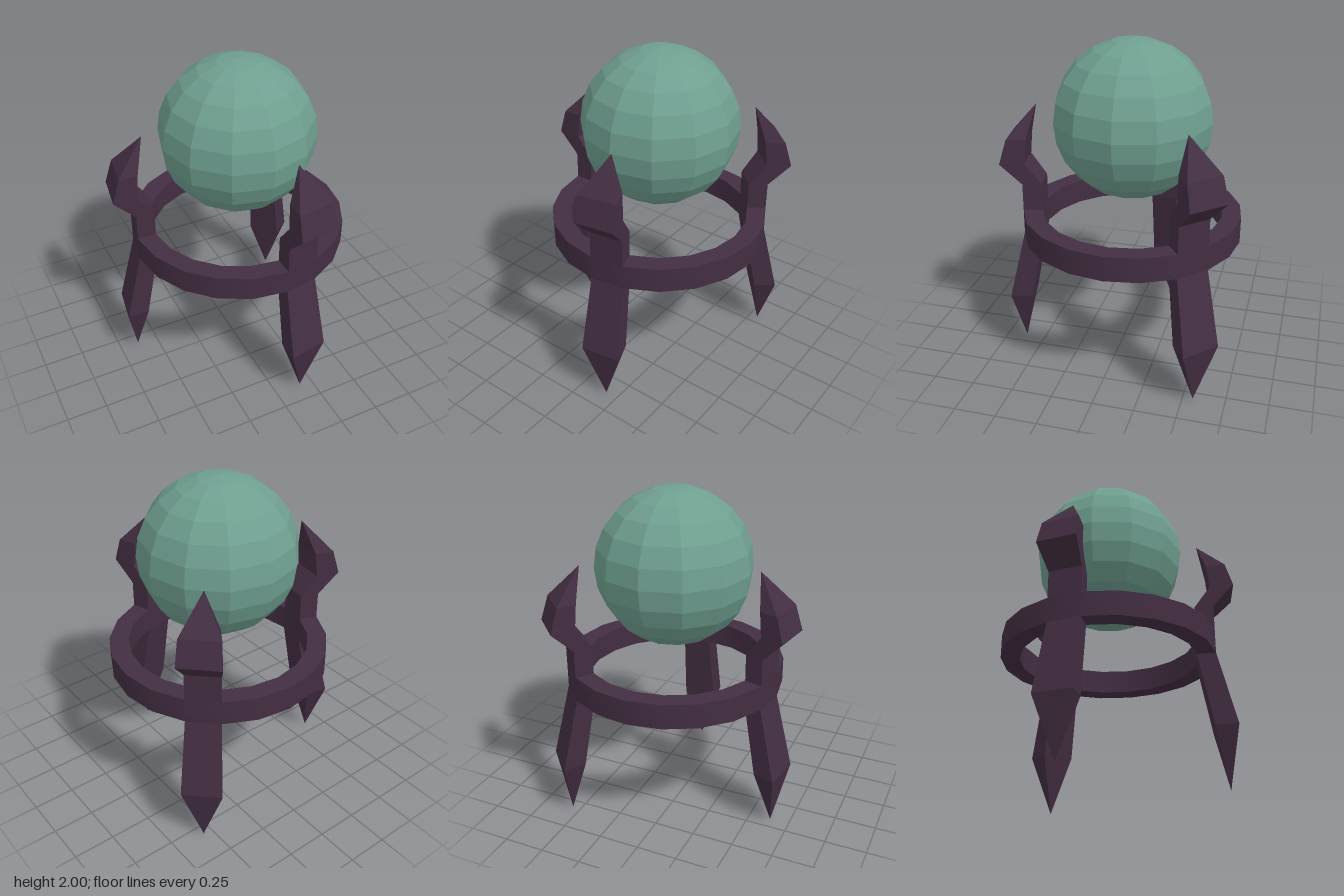
import * as THREE from 'three';
import { toCreasedNormals } from 'three/addons/utils/BufferGeometryUtils.js';

const RING_OUT = 0.66, RING_IN = 0.545, HALF = Math.PI / 20; // 20-sided ring, legs span one side

// Four-sided claw lofted through sections: [y, outer z, outer half width, inner z, inner half width]
function clawGeometry() {
  const zo = RING_OUT * Math.cos(HALF), wo = RING_OUT * Math.sin(HALF);
  const zi = RING_IN * Math.cos(HALF), wi = RING_IN * Math.sin(HALF);
  const sections = [
    [0, 0.7, 0, 0.7, 0],              // foot point
    [0.36, 0.76, 0.12, 0.625, 0.1],   // flared ankle
    [0.81, zo, wo, zi, wi],           // ring underside
    [1.125, zo, wo, zi, wi],          // top of the post
    [1.255, 0.78, 0.124, 0.635, 0.1], // outward bend
    [1.405, 0.735, 0.115, 0.62, 0.093],
    [1.6, 0.568, 0, 0.568, 0],        // claw tip
  ];
  const corner = ([y, o, ow, i, iw], k) =>
    [[-ow, y, o], [ow, y, o], [iw, y, i], [-iw, y, i]][k % 4];
  const pos = [];
  for (let s = 0; s < sections.length - 1; s++) {
    for (let k = 0; k < 4; k++) {
      const a = corner(sections[s], k), b = corner(sections[s], k + 1);
      const c = corner(sections[s + 1], k + 1), d = corner(sections[s + 1], k);
      if (s > 0) pos.push(...a, ...b, ...c);
      if (s < sections.length - 2) pos.push(...a, ...c, ...d);
    }
  }
  const g = new THREE.BufferGeometry();
  g.setAttribute('position', new THREE.Float32BufferAttribute(pos, 3));
  g.computeVertexNormals();
  return g;
}

export function createModel() {
  const model = new THREE.Group();
  model.name = 'orbStand';
  const orbMat = new THREE.MeshStandardMaterial({ color: 0x6f9f90, flatShading: true });
  const clawMat = new THREE.MeshStandardMaterial({ color: 0x432e42, flatShading: true });
  const ringMat = new THREE.MeshStandardMaterial({ color: 0x432e42 });

  const add = (name, geometry, material) => {
    const mesh = new THREE.Mesh(geometry, material);
    mesh.name = name;
    model.add(mesh);
    return mesh;
  };

  // Floating orb
  add('orb', new THREE.SphereGeometry(0.47, 12, 12), orbMat).position.y = 1.53;

  // Flat band joining the legs
  const profile = [[RING_IN, 0.81], [RING_OUT, 0.81], [RING_OUT, 0.96], [RING_IN, 0.96], [RING_IN, 0.81]]
    .map(([r, y]) => new THREE.Vector2(r, y));
  add('ring', toCreasedNormals(new THREE.LatheGeometry(profile, 20), 0.6), ringMat);

  // Three clawed legs, each set on one side of the ring
  const claw = clawGeometry();
  [['frontLeg', 9], ['backLeftLeg', 135], ['rightLeg', 261]].forEach(([name, deg]) => {
    add(name, claw, clawMat).rotation.y = THREE.MathUtils.degToRad(deg);
  });

  // The uneven leg spacing shifts the ring off the origin
  model.position.set(0.06, 0, -0.065);
  const root = new THREE.Group();
  root.add(model);
  return root;
}
